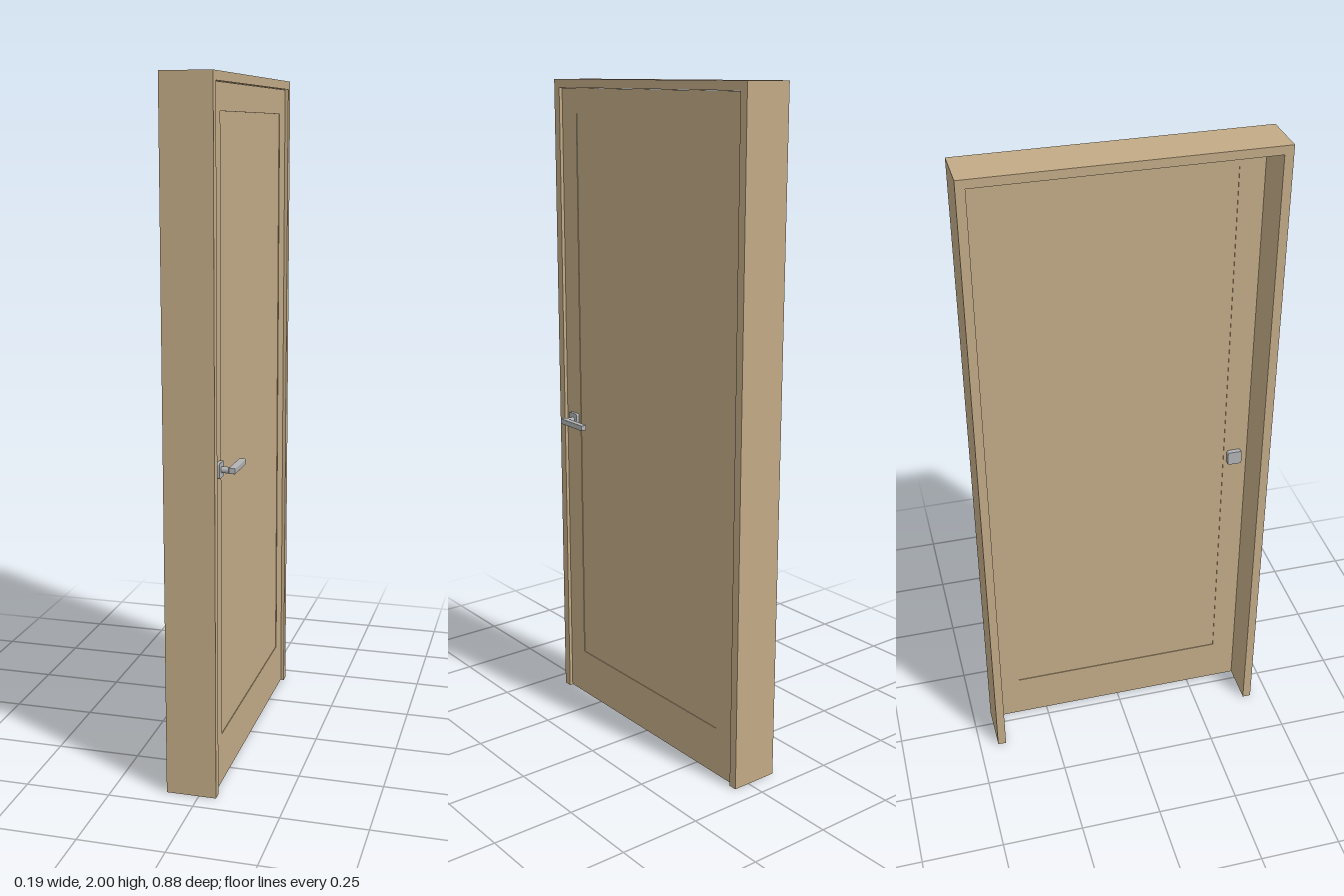
import * as THREE from 'three';
import { RoundedBoxGeometry } from 'three/addons/geometries/RoundedBoxGeometry.js';

const wood = new THREE.MeshStandardMaterial({ color: 0xc2aa86 });
const metal = new THREE.MeshStandardMaterial({ color: 0xb0b2b4 });

function part(name, geometry, material, x = 0, y = 0, z = 0) {
  const mesh = new THREE.Mesh(geometry, material);
  mesh.name = name;
  mesh.position.set(x, y, z);
  return mesh;
}

// Closed outline in the (z, y) plane
function rectPoints(halfWidth, bottom, top) {
  return [[-halfWidth, bottom], [halfWidth, bottom], [halfWidth, top], [-halfWidth, top]]
    .map(([u, v]) => new THREE.Vector2(u, v));
}

// Extrudes an upright shape along x, from x0 to x1
function extrudeX(shape, x0, x1) {
  const geometry = new THREE.ExtrudeGeometry(shape, { depth: x1 - x0, bevelEnabled: false, curveSegments: 6 });
  return geometry.rotateY(Math.PI / 2).translate(x0, 0, 0);
}

function roundedSquare(h, r) {
  const s = new THREE.Shape();
  s.absarc(h - r, h - r, r, 0, Math.PI / 2);
  s.absarc(r - h, h - r, r, Math.PI / 2, Math.PI);
  s.absarc(r - h, r - h, r, Math.PI, Math.PI * 1.5);
  s.absarc(h - r, r - h, r, Math.PI * 1.5, Math.PI * 2);
  s.closePath();
  return s;
}

export function createModel() {
  const model = new THREE.Group();
  model.name = 'door';

  // Frame: two jambs and a head, open at the floor
  const W = 0.441, w = 0.415, top = 1.975;
  const arch = new THREE.Shape([
    [-W, 0], [-w, 0], [-w, top], [w, top], [w, 0], [W, 0], [W, 2], [-W, 2],
  ].map(([u, v]) => new THREE.Vector2(u, v)));
  model.add(part('frame', extrudeX(arch, -0.095, 0.051), wood));

  // Door leaf: stiles and rails around a slightly sunken panel
  const leaf = new THREE.Group();
  leaf.name = 'leaf';
  const x0 = 0.03, x1 = 0.041, sink = 0.002;
  const surround = new THREE.Shape(rectPoints(0.414, 0.002, 1.974));
  surround.holes.push(new THREE.Path(rectPoints(0.34, 0.15, 1.9)));
  leaf.add(part('stilesAndRails', extrudeX(surround, x0, x1), wood));
  const panel = new THREE.BoxGeometry(x1 - x0 - 2 * sink, 1.75, 0.68);
  leaf.add(part('panel', panel, wood, (x0 + x1) / 2, 1.025, 0));
  model.add(leaf);

  // Handle: a plate on each face, with the lever on the outer one
  const handle = new THREE.Group();
  handle.name = 'handle';
  handle.position.set(0, 0.945, 0.372);
  const plate = roundedSquare(0.022, 0.006);
  handle.add(part('outerPlate', extrudeX(plate, x1, x1 + 0.01), metal));
  handle.add(part('innerPlate', extrudeX(plate, x0 - 0.015, x0), metal));
  const stem = new THREE.CylinderGeometry(0.009, 0.009, 0.034, 24).rotateZ(Math.PI / 2);
  handle.add(part('stem', stem, metal, 0.063, 0, -0.002));
  handle.add(part('lever', new RoundedBoxGeometry(0.019, 0.017, 0.115, 2, 0.002), metal, 0.082, 0, -0.0495));
  model.add(handle);

  return model;
}
